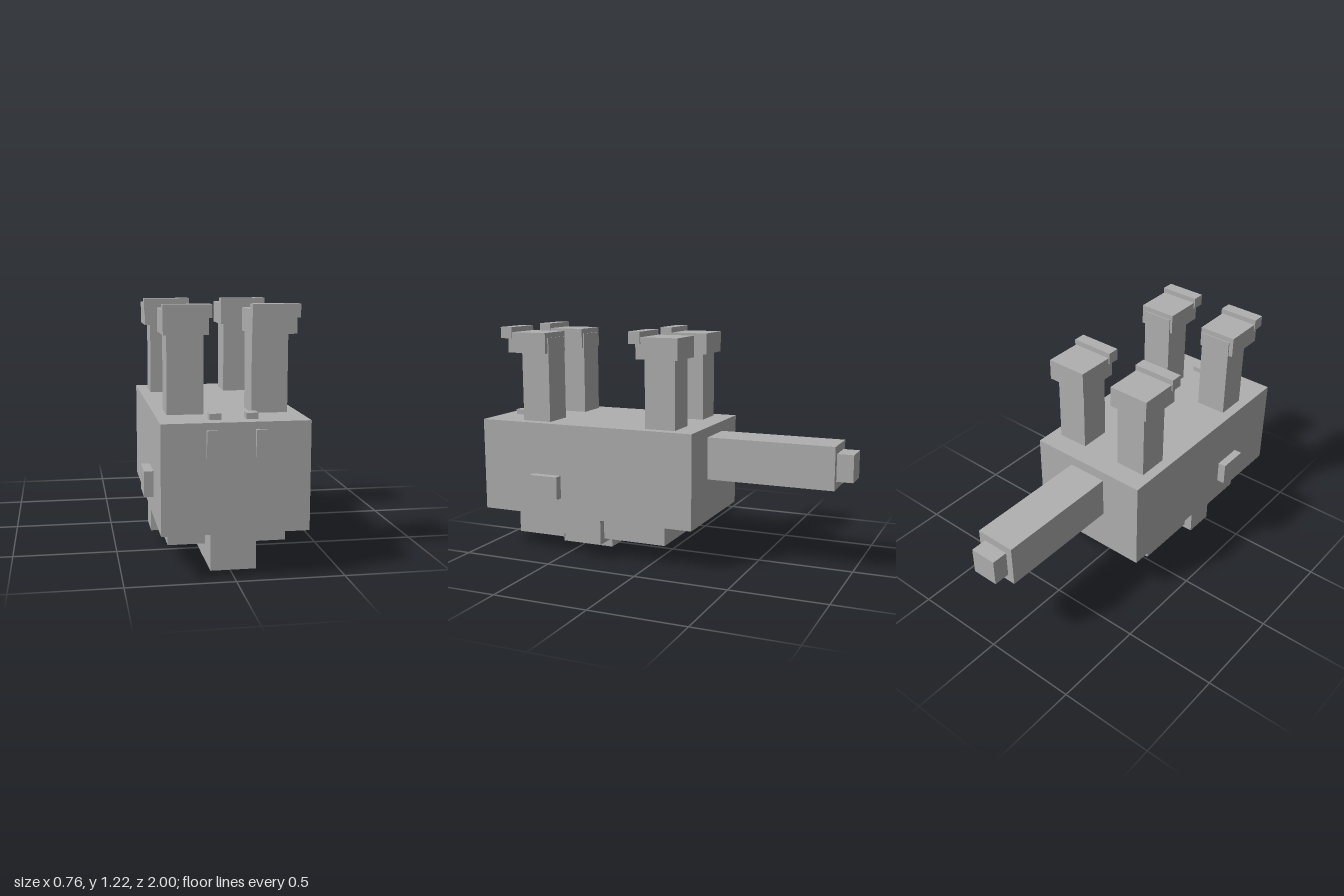
import * as THREE from 'three';

export function createModel() {
  const model = new THREE.Group();
  model.name = 'blockCreature';
  const grey = new THREE.MeshStandardMaterial({ color: 0xb0b0b0 });
  grey.name = 'plain grey';

  // Box from its limits on each axis
  function box(name, [x0, x1], [y0, y1], [z0, z1], parent = model) {
    const mesh = new THREE.Mesh(new THREE.BoxGeometry(x1 - x0, y1 - y0, z1 - z0), grey);
    mesh.position.set((x0 + x1) / 2, (y0 + y1) / 2, (z0 + z1) / 2);
    mesh.name = name;
    parent.add(mesh);
  }
  // Same box on the left (+x) and right (-x) sides
  function pair(name, [x0, x1], y, z) {
    box(name + 'Left', [x0, x1], y, z);
    box(name + 'Right', [-x1, -x0], y, z);
  }
  const wide = (h) => [-h, h];

  // Body and tail
  box('body', wide(0.334), [0.217, 0.717], [-0.243, 0.985]);
  box('tail', wide(0.108), [0.44, 0.664], [-0.915, -0.243]);
  box('tailTip', wide(0.071), [0.481, 0.622], [-1, -0.915]);

  // Small parts on the front, top and sides
  pair('frontSlot', [0.085, 0.133], [0.562, 0.684], [0.985, 1]);
  pair('topKnob', [0.056, 0.11], [0.717, 0.745], [0.862, 0.917]);
  pair('sideKnob', [0.334, 0.378], [0.316, 0.439], [0.51, 0.675]);

  // Upright legs, each with a foot and a raised toe
  pair('frontLeg', [0.111, 0.28], [0.717, 1.165], [0.597, 0.76]);
  pair('frontFoot', [0.097, 0.303], [1.084, 1.193], [0.603, 0.83]);
  pair('frontToe', [0.09, 0.308], [1.16, 1.22], [0.805, 0.872]);
  pair('backLeg', [0.111, 0.28], [0.717, 1.15], [-0.13, 0.036]);
  pair('backFoot', [0.09, 0.311], [1.076, 1.187], [-0.157, 0.073]);
  pair('backToe', [0.084, 0.317], [1.153, 1.215], [0.045, 0.11]);

  // Stepped blocks under the body
  box('bellyPlate', wide(0.28), [0.105, 0.217], [-0.073, 0.76]);
  box('bellyFront', wide(0.105), [0.027, 0.209], [0.628, 0.918]);
  box('bellyMiddle', wide(0.094), [0, 0.18], [0.328, 0.635]);
  box('bellyBack', wide(0.085), [0.04, 0.18], [0.02, 0.328]);
  pair('bellySide', [0.21, 0.324], [0.081, 0.217], [0.28, 0.44]);

  return model;
}
